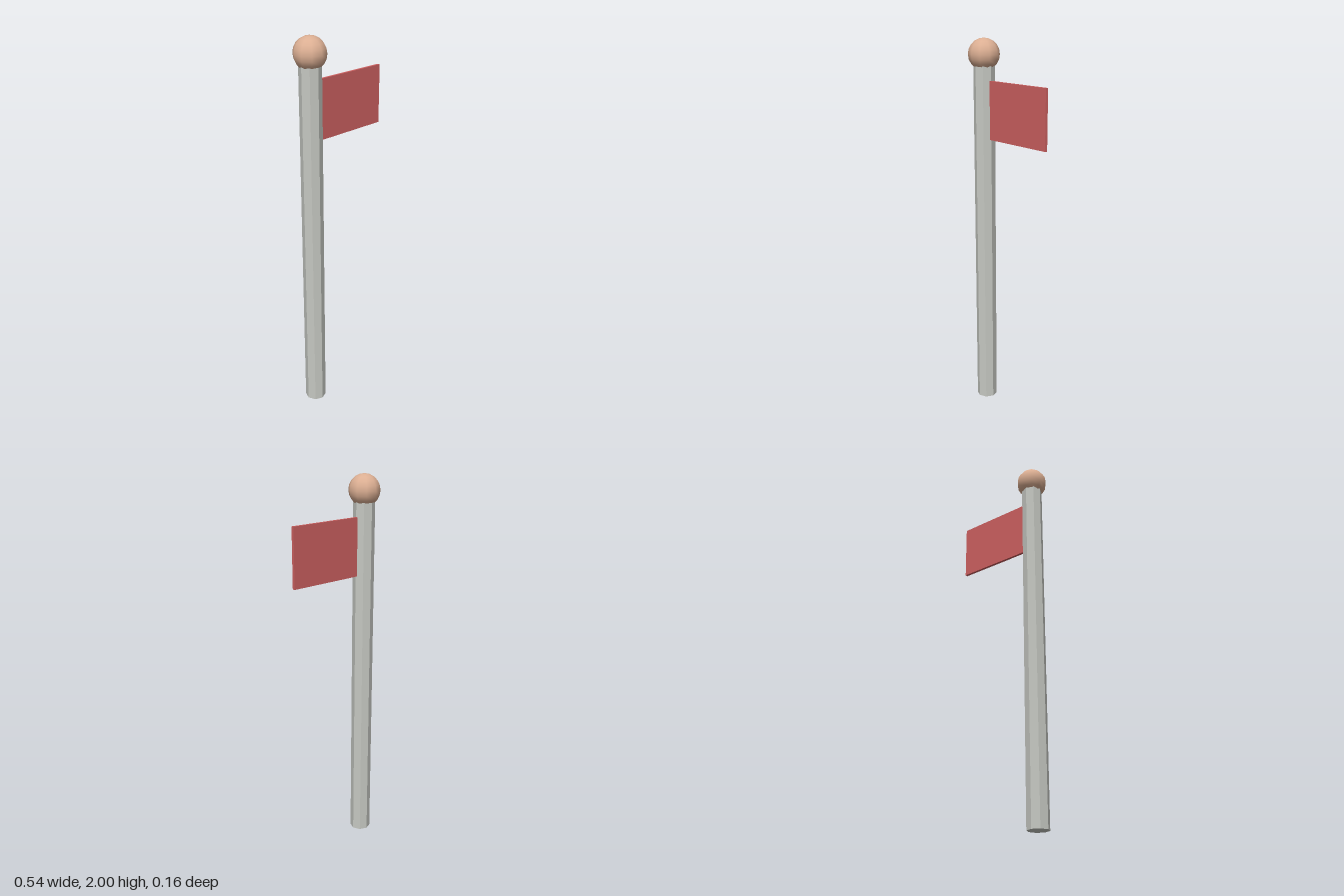
import * as THREE from 'three';

const POLE_X = -0.195;

function material(name, color, flatShading = false) {
  const m = new THREE.MeshStandardMaterial({ color, flatShading });
  m.name = name;
  return m;
}

function part(name, geometry, mat, x, y) {
  const mesh = new THREE.Mesh(geometry, mat);
  mesh.name = name;
  mesh.position.set(x, y, 0);
  return mesh;
}

export function createModel() {
  const group = new THREE.Group();
  group.name = 'flagpole';
  const grey = material('poleGrey', 0xc6c8c2, true);
  const red = material('flagRed', 0xcc6060, true);
  const tan = material('knobTan', 0xdcaf93);

  // Octagonal pole, its top hidden inside the knob
  group.add(part('pole', new THREE.CylinderGeometry(0.055, 0.055, 1.89, 8), grey, POLE_X, 0.945));

  // Ten-sided smooth knob with a corner facing front
  const ball = new THREE.SphereGeometry(0.081, 10, 10).rotateY(Math.PI / 2);
  group.add(part('knob', ball, tan, POLE_X, 1.919));

  // Stiff flag, its inner end set into the pole
  const inner = POLE_X + 0.04, outer = 0.272;
  const cloth = new THREE.BoxGeometry(outer - inner, 0.3, 0.014);
  group.add(part('flag', cloth, red, (inner + outer) / 2, 1.64));

  return group;
}
